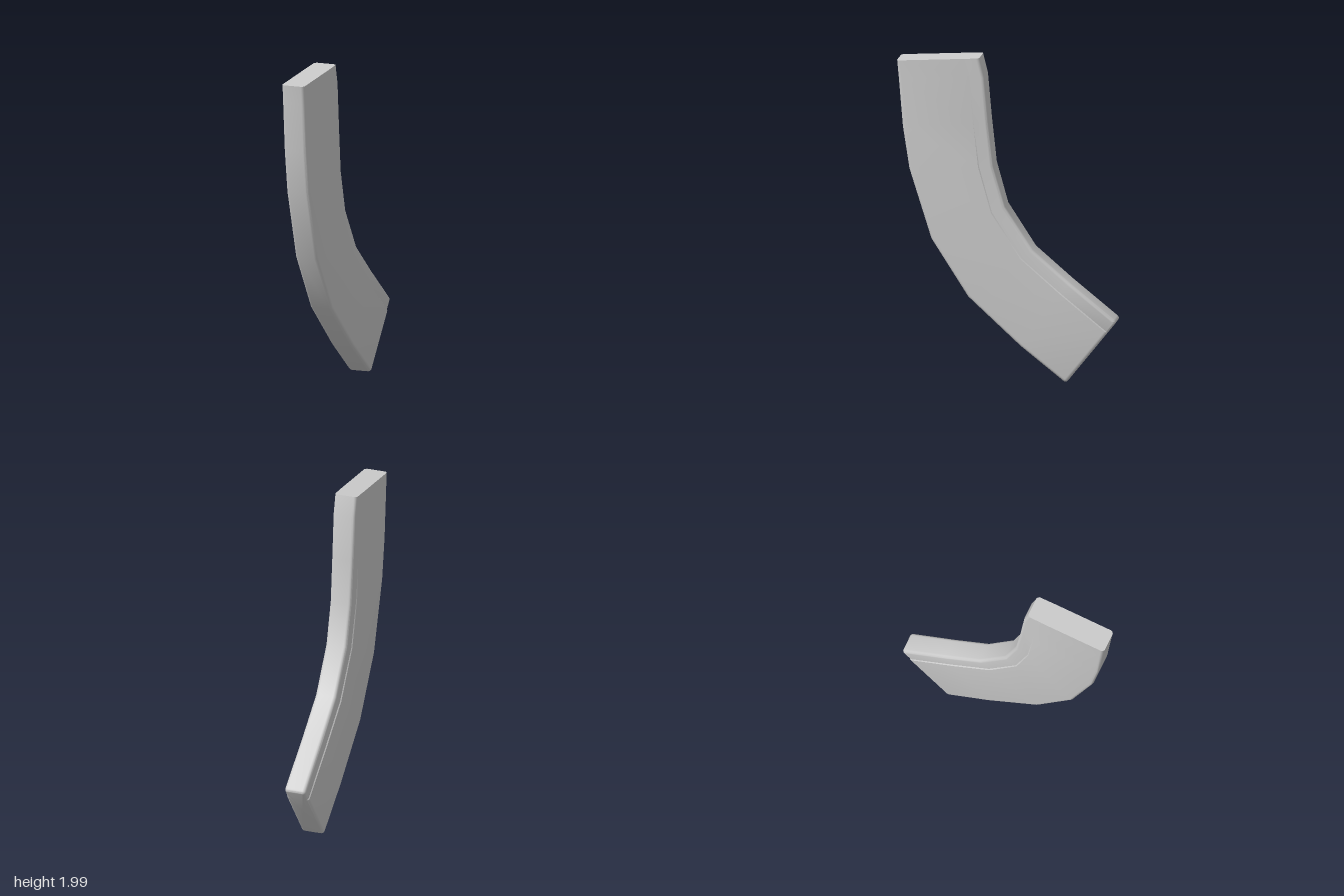
import * as THREE from 'three';
import { toCreasedNormals } from 'three/addons/utils/BufferGeometryUtils.js';

const HALF_WIDTH = 0.0725;
const RADIUS = 0.02;

// Stations from top to bottom: front edge z, y, back edge z, y, depth of the side step
const STATIONS = [
  [0.675, 1.96, 0.17, 2.0, 0.001],
  [0.665, 1.85, 0.14, 1.88, 0.001],
  [0.64, 1.55, 0.115, 1.6, 0.002],
  [0.6, 1.29, 0.085, 1.33, 0.004],
  [0.465, 0.86, 0.015, 1.08, 0.005],
  [0.24, 0.51, -0.155, 0.82, 0.006],
  [-0.08, 0.22, -0.38, 0.63, 0.006],
  [-0.36, 0.003, -0.67, 0.4, 0.005],
];

// One closed cross-section: rounded front and back corners, slimmer strip along the back
function ring([fz, fy, bz, by, step], inset) {
  const front = new THREE.Vector2(fz, fy);
  const back = new THREE.Vector2(bz, by);
  const length = front.distanceTo(back);
  const r = Math.max(RADIUS - inset, 0.004);
  const w = HALF_WIDTH - inset;
  const half = [];
  for (let k = 0; k <= 4; k++) {
    const a = (k / 4) * Math.PI / 2;
    half.push([w - r + r * Math.sin(a), inset + r - r * Math.cos(a)]);
  }
  half.push([w, length - 0.091], [w - step, length - 0.085]);
  for (let k = 0; k <= 4; k++) {
    const a = (k / 4) * Math.PI / 2;
    half.push([w - step - r + r * Math.cos(a), length - inset - r + r * Math.sin(a)]);
  }
  const loop = [...half, ...half.map(([x, d]) => [-x, d]).reverse()];
  return loop.map(([x, d]) => {
    const p = front.clone().lerp(back, d / length);
    return new THREE.Vector3(x, p.y, p.x);
  });
}

// Skin the rings and close both ends
function loft(rings) {
  const n = rings[0].length;
  const positions = [];
  const tri = (...pts) => pts.forEach((p) => positions.push(p.x, p.y, p.z));
  for (let i = 0; i < rings.length - 1; i++) {
    for (let j = 0; j < n; j++) {
      const k = (j + 1) % n;
      const [a, b, c, d] = [rings[i][j], rings[i][k], rings[i + 1][j], rings[i + 1][k]];
      tri(a, c, d);
      tri(a, d, b);
    }
  }
  const cap = (loop, flip) => {
    const centre = loop.reduce((s, p) => s.add(p), new THREE.Vector3()).divideScalar(n);
    loop.forEach((p, j) => {
      const q = loop[(j + 1) % n];
      if (flip) tri(centre, q, p);
      else tri(centre, p, q);
    });
  };
  cap(rings[0], false);
  cap(rings[rings.length - 1], true);
  const geometry = new THREE.BufferGeometry();
  geometry.setAttribute('position', new THREE.Float32BufferAttribute(positions, 3));
  return toCreasedNormals(geometry, 0.55);
}

export function createModel() {
  const group = new THREE.Group();
  group.name = 'curvedMagazine';

  const rings = STATIONS.slice(0, -1).map((s) => ring(s, 0));

  // Rounded lower end
  const [before, last] = STATIONS.slice(-2);
  const span = Math.hypot(last[0] - before[0], last[1] - before[1]);
  for (let k = 0; k <= 4; k++) {
    const a = (k / 4) * Math.PI / 2;
    const t = 1 - (RADIUS * (1 - Math.sin(a))) / span;
    const station = last.map((v, i) => THREE.MathUtils.lerp(before[i], v, t));
    rings.push(ring(station, RADIUS * 0.85 * (1 - Math.cos(a))));
  }

  const body = new THREE.Mesh(loft(rings), new THREE.MeshStandardMaterial({ color: 0xcccccc }));
  body.name = 'magazineBody';
  group.add(body);
  return group;
}
